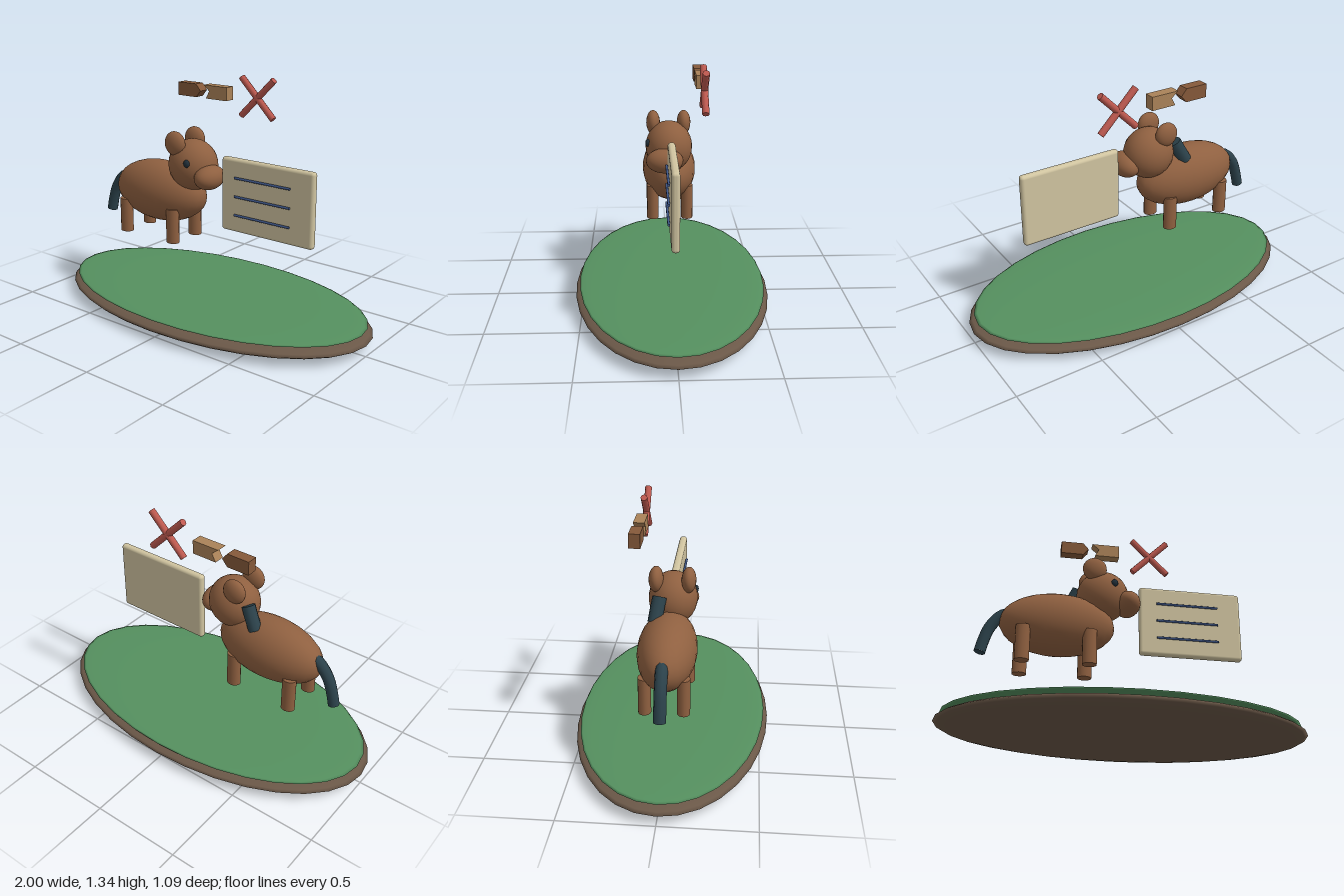
import * as THREE from 'three';
import { RoundedBoxGeometry } from 'three/addons/geometries/RoundedBoxGeometry.js';

const COLORS = {
  soil: 0x6b5848, grass: 0x55905f, coat: 0x8f6040, hair: 0x2c424b, eye: 0x22303a,
  board: 0xd0c4a0, line: 0x40588a, red: 0xbf5a50, darkWood: 0x85593a, lightWood: 0xaa8258,
};
const mats = {};
for (const key in COLORS) mats[key] = new THREE.MeshStandardMaterial({ color: COLORS[key] });

function part(name, geometry, mat, x = 0, y = 0, z = 0) {
  const mesh = new THREE.Mesh(geometry, mats[mat]);
  mesh.name = name;
  mesh.position.set(x, y, z);
  return mesh;
}

function ellipsoid(name, mat, center, radii, ws = 24, hs = 16) {
  const geometry = new THREE.SphereGeometry(1, ws, hs).scale(...radii);
  return part(name, geometry, mat, ...center);
}

// Bent strand of hair with closed ends
function strand(name, points, radius) {
  const group = new THREE.Group();
  group.name = name;
  const curve = new THREE.CatmullRomCurve3(points.map((p) => new THREE.Vector3(...p)));
  group.add(part(name + 'Tube', new THREE.TubeGeometry(curve, 12, radius, 10), 'hair'));
  for (const t of [0, 1]) {
    const p = curve.getPoint(t);
    const cap = part(name + 'Cap', new THREE.CircleGeometry(radius, 10), 'hair', p.x, p.y, p.z);
    const outward = curve.getTangent(t).multiplyScalar(t ? 1 : -1);
    cap.quaternion.setFromUnitVectors(new THREE.Vector3(0, 0, 1), outward);
    group.add(cap);
  }
  return group;
}

// Flat outline extruded from z = -0.197 forward
function tile(name, mat, points) {
  const shape = new THREE.Shape(points.map((p) => new THREE.Vector2(...p)));
  const geometry = new THREE.ExtrudeGeometry(shape, { depth: 0.06, bevelEnabled: false });
  return part(name, geometry, mat, 0, 0, -0.197);
}

function createHorse() {
  const horse = new THREE.Group();
  horse.name = 'horse';
  horse.add(ellipsoid('body', 'coat', [-0.38, 0.647, 0], [0.32, 0.178, 0.157]));
  horse.add(ellipsoid('head', 'coat', [-0.13, 0.84, 0.008], [0.147, 0.146, 0.132]));
  horse.add(ellipsoid('snout', 'coat', [0.008, 0.792, 0.036], [0.073, 0.069, 0.104]));
  horse.add(ellipsoid('eye', 'eye', [-0.08, 0.873, 0.128], [0.02, 0.022, 0.014], 14, 10));
  for (const side of [1, -1]) {
    horse.add(ellipsoid('ear', 'coat', [-0.188, 0.966, 0.009 + side * 0.087], [0.068, 0.069, 0.039], 20, 14));
    for (const x of [-0.57, -0.21]) {
      const leg = new THREE.CylinderGeometry(0.04, 0.04, 0.2, 14).scale(1, 1, 0.85);
      horse.add(part('leg', leg, 'coat', x, 0.484, side * 0.1));
    }
  }
  horse.add(strand('mane', [[-0.262, 0.895, -0.052], [-0.29, 0.84, -0.062], [-0.325, 0.775, -0.072]], 0.038));
  horse.add(strand('tail', [[-0.63, 0.7, 0], [-0.685, 0.68, 0], [-0.745, 0.605, 0], [-0.775, 0.52, 0], [-0.79, 0.455, 0]], 0.032));
  return horse;
}

function createSign() {
  const sign = new THREE.Group();
  sign.name = 'sign';
  sign.add(part('board', new RoundedBoxGeometry(0.59, 0.415, 0.043, 3, 0.018), 'board', 0.375, 0.712, 0.001));
  for (const y of [0.815, 0.71, 0.605]) {
    const line = new THREE.CylinderGeometry(0.007, 0.007, 0.355, 8).rotateZ(Math.PI / 2);
    sign.add(part('signLine', line, 'line', 0.355, y, 0.031));
  }
  return sign;
}

export function createModel() {
  const model = new THREE.Group();
  model.name = 'horseScene';

  // Oval ground
  model.add(ellipsoid('soil', 'soil', [0, 0.058, 0], [1, 0.058, 0.545], 32, 16));
  model.add(ellipsoid('grass', 'grass', [0, 0.105, 0], [0.97, 0.018, 0.523], 32, 16));

  model.add(createHorse(), createSign());

  // Pointed and notched tiles that do not fit together
  model.add(tile('pointedTile', 'darkWood', [
    [-0.357, 1.19], [-0.227, 1.19], [-0.195, 1.228], [-0.227, 1.266], [-0.357, 1.266],
  ]));
  model.add(tile('notchedTile', 'lightWood', [
    [-0.01, 1.19], [-0.01, 1.266], [-0.172, 1.266], [-0.132, 1.233], [-0.155, 1.19],
  ]));

  // Red cross
  for (const side of [1, -1]) {
    const bar = part('crossBar', new THREE.CylinderGeometry(0.019, 0.019, 0.3, 8), 'red', 0.18, 1.223, -0.168);
    bar.rotation.z = side * Math.PI / 4;
    model.add(bar);
  }
  return model;
}
